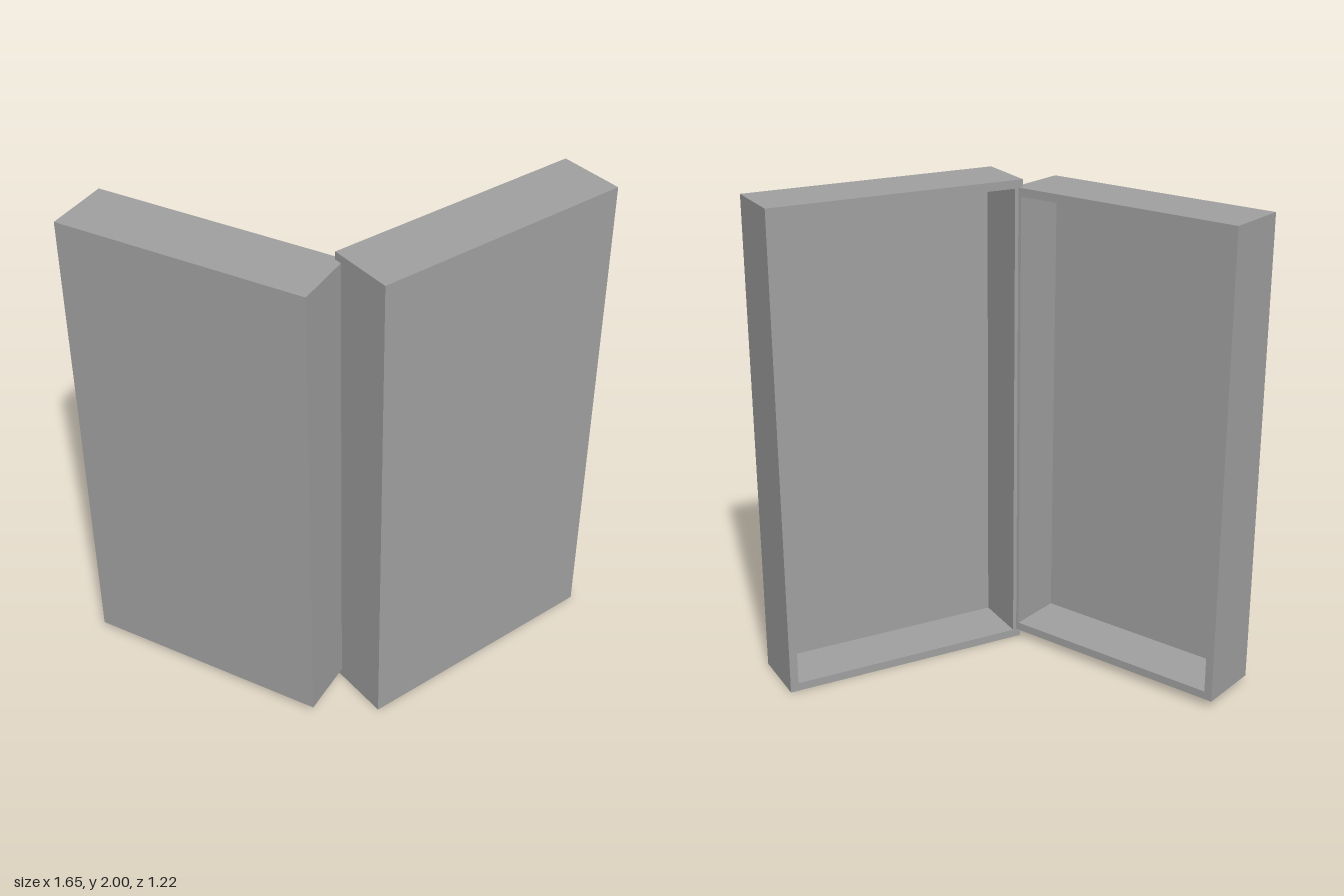
import * as THREE from 'three';

const WALL = 0.034;

// Shallow open tray: closed panel at +z, opening towards -z, centred on its origin
function makeTray(name, width, height, depth) {
  const w = width / 2, h = height / 2;
  const tray = new THREE.Group();
  tray.name = name;
  const material = new THREE.MeshStandardMaterial({ color: 0xa0a0a0 });

  const add = (part, geometry, z) => {
    const mesh = new THREE.Mesh(geometry, material);
    mesh.name = part;
    mesh.position.z = z;
    tray.add(mesh);
  };
  const rect = (path, a, b) =>
    path.moveTo(-a, -b).lineTo(a, -b).lineTo(a, b).lineTo(-a, b).closePath();

  // Rim: the four side walls as one frame, running the full depth
  const frame = rect(new THREE.Shape(), w, h);
  frame.holes.push(rect(new THREE.Path(), w - WALL, h - WALL));
  add(name + 'Walls', new THREE.ExtrudeGeometry(frame, { depth, bevelEnabled: false }), -depth / 2);

  // Panel closing the frame, set flush with its outer edge
  add(name + 'Panel', new THREE.BoxGeometry(width - 2 * WALL, height - 2 * WALL, WALL), depth / 2 - WALL / 2);
  return tray;
}

export function createModel() {
  const model = new THREE.Group();
  model.name = 'openCase';

  // Smaller half, square to the front
  const base = makeTray('base', 1.004, 1.934, 0.267);
  base.position.set(-0.324, 1.002, 0.473);

  // Slightly larger half, swung backwards about the shared upright edge
  const lid = makeTray('lid', 1.058, 2, 0.268);
  lid.position.set(0.487, 1, -0.072);
  lid.rotation.y = Math.atan2(0.967, 0.43);

  model.add(base, lid);
  return model;
}
